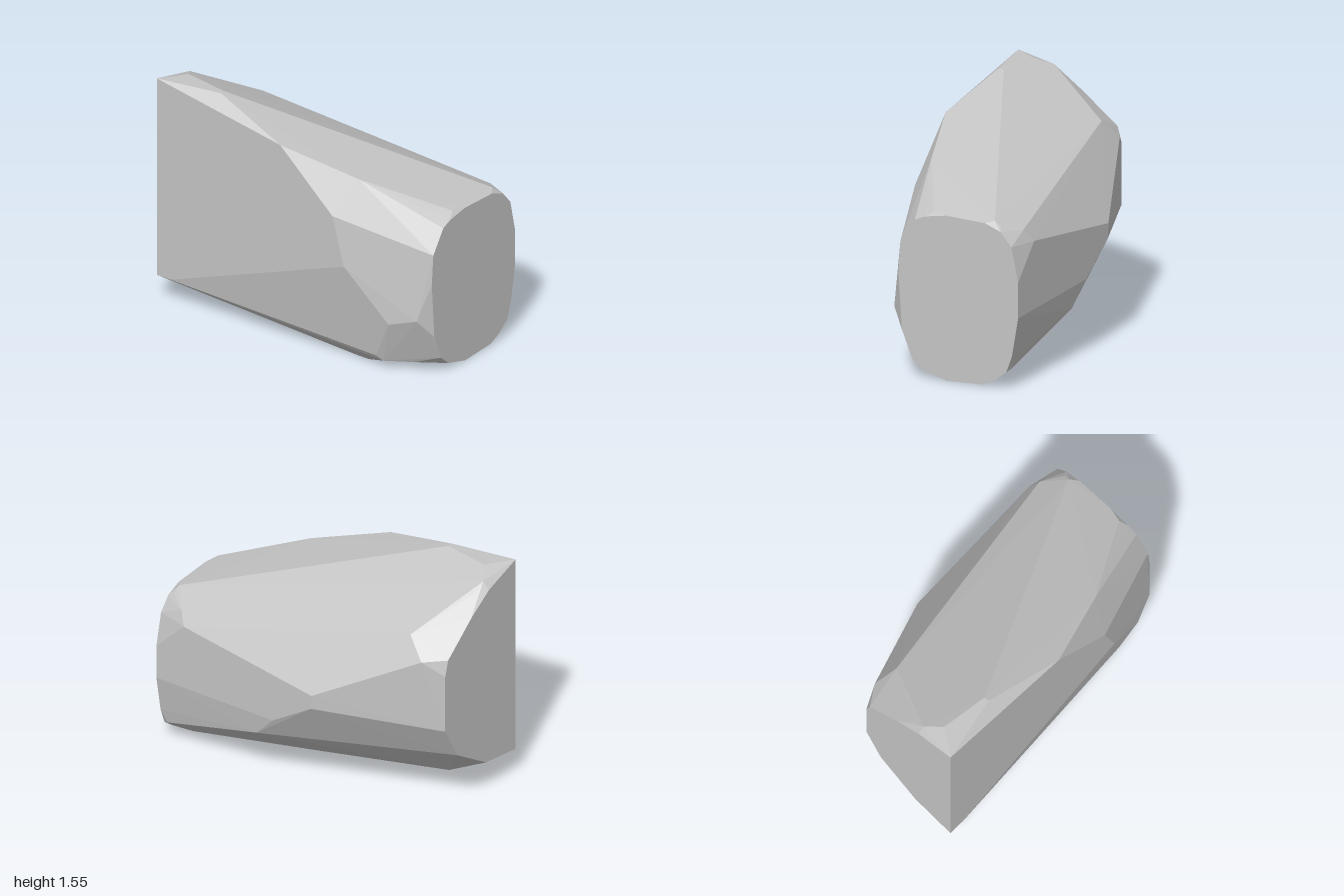
import * as THREE from 'three';
import { ConvexGeometry } from 'three/addons/geometries/ConvexGeometry.js';

export function createModel() {
  const group = new THREE.Group();
  group.name = 'rock';
  const stone = new THREE.MeshStandardMaterial({ color: 0xc4c4c4 });
  stone.name = 'light grey stone';

  // Flat cut at the right end: [z, y] at x = 1
  const rightCut = [
    [0.2, 1.01], [0.13, 1.04], [-0.02, 1.065], [-0.29, 1.053], [-0.4, 1.01], [-0.475, 0.92],
    [-0.523, 0.7], [-0.523, 0.47], [-0.48, 0.22], [-0.44, 0.11], [-0.355, 0.045], [-0.275, 0.01],
    [-0.02, 0], [0.15, 0.05], [0.22, 0.115], [0.29, 0.29], [0.315, 0.66], [0.3, 0.86],
  ];
  // Flat cut at the left end: [z, y] at x = -1
  const leftCut = [
    [0.523, 1.55], [0.25, 1.46], [0.07, 1.344], [-0.17, 1.15], [-0.2, 1.045],
    [-0.2, 0.65], [-0.075, 0.42], [0.22, 0.227], [0.523, 0.18],
  ];
  // Flat front face: [x, y] at z = 0.523
  const frontCut = [[-0.03, 1.395], [0.38, 1.03], [0.47, 0.705], [-0.89, 0.18]];
  // Flat back face: [x, y] at z = -0.523
  const backCut = [[-0.205, 0.775], [-0.2, 0.68], [0.095, 0.489], [0.787, 0.915]];
  // Flat underside: [x, z] at y = 0
  const baseCut = [[0.16, 0], [0.42, 0.335], [0.52, 0.335], [0.9, -0.275]];
  // Flat crown: [x, z] at y = 1.55
  const crownCut = [[-0.88, 0.355], [-0.57, 0.4], [-0.565, 0.435]];
  // Corners between the flat cuts: [x, y, z]
  const corners = [
    [-0.95, 1.455, 0.18], [-0.955, 1.505, 0.25], [-0.73, 1.256, -0.2], [-0.86, 1.128, -0.26],
    [0.465, 1.248, 0.363], [0.975, 1.075, 0.075], [0.96, 1.065, -0.34], [0.965, 1.035, -0.385],
    [0.84, 0.997, -0.478], [0.96, 0.13, -0.46], [0.24, 0.337, -0.5], [-0.765, 0.12, 0.15],
    [0.67, 0.055, 0.38], [0.63, 0.09, 0.405], [0.76, 0.36, 0.443], [0.93, 0.41, 0.38], [0.83, 0.06, 0.29],
  ];

  const V = (x, y, z) => new THREE.Vector3(x, y, z);
  const points = [
    ...rightCut.map(([z, y]) => V(1, y, z)),
    ...leftCut.map(([z, y]) => V(-1, y, z)),
    ...frontCut.map(([x, y]) => V(x, y, 0.523)),
    ...backCut.map(([x, y]) => V(x, y, -0.523)),
    ...baseCut.map(([x, z]) => V(x, 0, z)),
    ...crownCut.map(([x, z]) => V(x, 1.55, z)),
    ...corners.map((c) => V(...c)),
  ];

  // Faceted boulder wrapped around all the corners
  const boulder = new THREE.Mesh(new ConvexGeometry(points), stone);
  boulder.name = 'boulder';
  group.add(boulder);
  return group;
}
